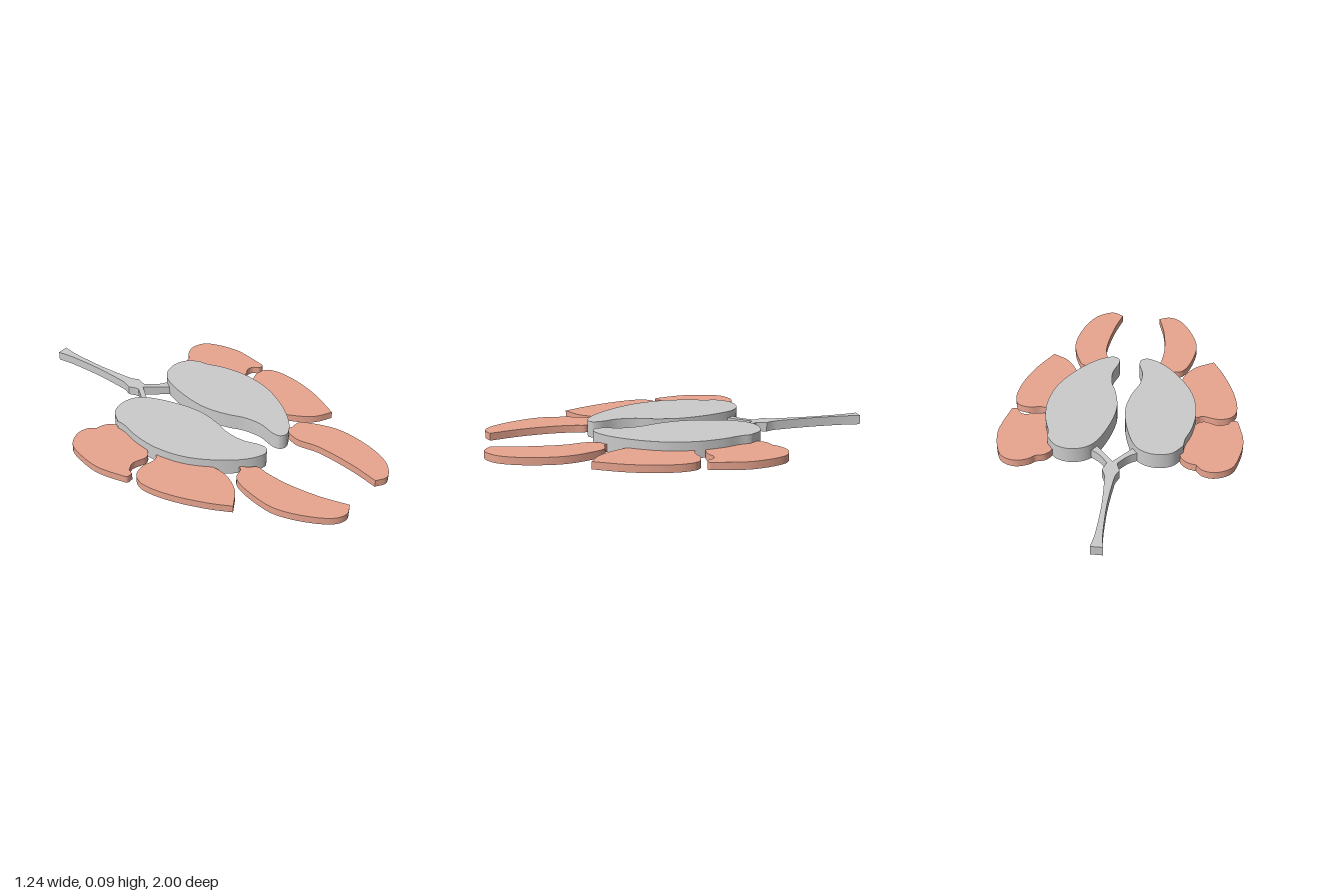
import * as THREE from 'three';
import { toCreasedNormals } from 'three/addons/utils/BufferGeometryUtils.js';

const AXIS = 0.009; // mirror line of the lungs and windpipe
const LIFT = 0.001; // keeps overlapping undersides from being coplanar

const grey = new THREE.MeshStandardMaterial({ color: 0xcccccc });
const coral = new THREE.MeshStandardMaterial({ color: 0xe9a58f });

// Flat x, z list to points; shape y is -z so the slab can be laid down
const toPoints = (a) => {
  const pts = [];
  for (let i = 0; i < a.length; i += 2) pts.push(new THREE.Vector2(a[i], -a[i + 1]));
  return pts;
};

// Smooth run through the points
const smooth = (pts) => {
  const curve = new THREE.CatmullRomCurve3(pts.map((p) => new THREE.Vector3(p.x, p.y, 0)), false, 'centripetal');
  return curve.getPoints((pts.length - 1) * 6).map((p) => new THREE.Vector2(p.x, p.y));
};

// Closed outline from smooth runs that meet at sharp corners
const outline = (runs) => {
  const parts = runs.map(toPoints);
  return parts.flatMap((p, i) => {
    const next = parts[(i + 1) % parts.length][0];
    return smooth([...p, next]).slice(0, -1);
  });
};

const mirrored = (pts) => pts.map((p) => new THREE.Vector2(2 * AXIS - p.x, p.y)).reverse();

// Upright slab with a smooth rim
function slab(name, pts, bottom, top, material) {
  const geo = new THREE.ExtrudeGeometry(new THREE.Shape(pts), { depth: top - bottom, bevelEnabled: false });
  geo.rotateX(-Math.PI / 2);
  geo.translate(0, bottom, 0);
  const mesh = new THREE.Mesh(toCreasedNormals(geo, 0.6), material);
  mesh.name = name;
  return mesh;
}

// Lung outline, right side
const LUNG = [[
  -0.33, -0.29, -0.336, -0.235, -0.36, -0.16, -0.373, -0.09, -0.378, 0, -0.352, 0.145, -0.283, 0.283,
  -0.198, 0.39, -0.13, 0.442, -0.082, 0.457, -0.052, 0.438, -0.047, 0.40, -0.071, 0.31, -0.066, 0.214,
  -0.034, 0.119, -0.013, -0.013, -0.04, -0.183, -0.093, -0.315, -0.14, -0.357, -0.21, -0.373, -0.28, -0.352,
]];

// Lobes around the lungs: each inner array is one smooth run between corners
const LOBES = {
  rightUpperLobe: [
    [-0.40, -0.378, -0.43, -0.413, -0.49, -0.425, -0.57, -0.384, -0.61, -0.28, -0.625, -0.17, -0.605, -0.05, -0.59, -0.005],
    [-0.558, -0.003],
    [-0.548, -0.03, -0.50, -0.05, -0.458, -0.036, -0.43, -0.025, -0.405, -0.03, -0.373, -0.06],
    [-0.34, -0.1],
    [-0.31, -0.25, -0.32, -0.325, -0.352, -0.362],
  ],
  leftUpperLobe: [
    [0.394, -0.389, 0.425, -0.417, 0.49, -0.437, 0.558, -0.41, 0.595, -0.34, 0.617, -0.22, 0.61, -0.145, 0.59, -0.05,
      0.58, -0.015, 0.553, -0.018, 0.532, -0.05, 0.50, -0.06, 0.463, -0.045, 0.394, -0.05],
    [0.37, -0.1],
    [0.31, -0.25, 0.315, -0.325, 0.347, -0.373],
  ],
  rightMiddleLobe: [
    [-0.452, 0.526, -0.505, 0.42, -0.563, 0.262, -0.588, 0.135, -0.585, 0.07, -0.553, 0.02, -0.49, 0.003,
      -0.41, 0.02, -0.373, 0.003],
    [-0.34, 0.05],
    [-0.30, 0.2, -0.283, 0.285, -0.294, 0.368, -0.352, 0.463],
  ],
  leftMiddleLobe: [
    [0.447, 0.516, 0.362, 0.463, 0.30, 0.368, 0.28, 0.3],
    [0.33, 0.2],
    [0.37, 0.07, 0.394, 0.008, 0.437, 0.013, 0.50, 0.003, 0.558, 0.024, 0.58, 0.08, 0.574, 0.2, 0.526, 0.362],
  ],
  rightLowerLobe: [
    [-0.20, 0.37, -0.183, 0.415, -0.15, 0.457, -0.16, 0.516, -0.167, 0.64, -0.15, 0.81],
    [-0.114, 0.955, -0.172, 0.976, -0.23, 0.95, -0.30, 0.84, -0.347, 0.69, -0.34, 0.585, -0.304, 0.457,
      -0.272, 0.415, -0.22, 0.402, -0.206, 0.388],
  ],
  leftLowerLobe: [
    [0.193, 0.37, 0.208, 0.415, 0.24, 0.418, 0.272, 0.427, 0.304, 0.484, 0.341, 0.61, 0.336, 0.728, 0.30, 0.865,
      0.246, 0.955, 0.167, 0.998],
    [0.108, 0.966, 0.14, 0.823, 0.161, 0.61, 0.146, 0.495, 0.167, 0.43, 0.186, 0.4],
  ],
};

// Right half of the windpipe, from its top end down the branch and back to the fork
const WINDPIPE_HALF = [
  [-0.02, -1, -0.009, -0.92, -0.004, -0.8, -0.004, -0.7, -0.013, -0.55, -0.018, -0.51],
  [-0.034, -0.47, -0.02, -0.43],
  [-0.018, -0.415, -0.066, -0.357, -0.114, -0.325],
  [-0.15, -0.3],
  [-0.13, -0.25],
  [-0.093, -0.278, -0.034, -0.352],
];

function windpipeOutline() {
  const half = WINDPIPE_HALF.map(toPoints).flatMap((p, i, all) => {
    const next = all[i + 1] ? all[i + 1][0] : new THREE.Vector2(AXIS, 0.405);
    return smooth([...p, next]).slice(0, -1);
  });
  return [...half, new THREE.Vector2(AXIS, 0.405), ...mirrored(half)];
}

export function createModel() {
  const model = new THREE.Group();
  model.name = 'lungs';

  // Two thick lungs
  const lung = outline(LUNG);
  model.add(slab('rightLung', lung, 0, 0.085, grey));
  model.add(slab('leftLung', mirrored(lung), 0, 0.085, grey));

  // Forked windpipe
  model.add(slab('windpipe', windpipeOutline(), LIFT, 0.05, grey));

  // Thin lobes fanned around the lungs
  for (const [name, runs] of Object.entries(LOBES)) {
    model.add(slab(name, outline(runs), LIFT, 0.04, coral));
  }
  return model;
}
